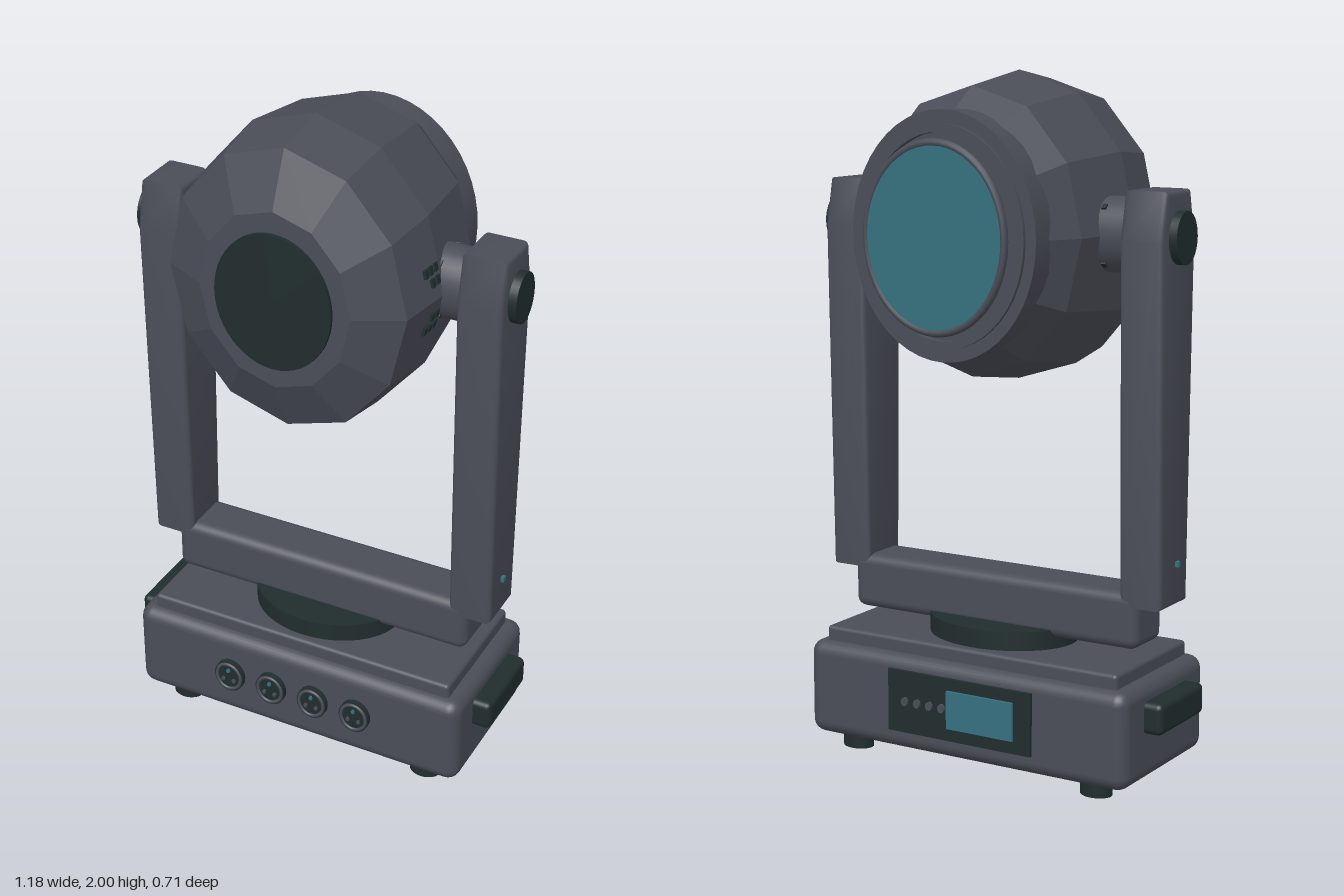
import * as THREE from 'three';
import { toCreasedNormals } from 'three/addons/utils/BufferGeometryUtils.js';
import { RoundedBoxGeometry } from 'three/addons/geometries/RoundedBoxGeometry.js';

export function createModel() {
  const model = new THREE.Group();
  model.name = 'movingHeadLight';

  const material = (name, color) => {
    const m = new THREE.MeshStandardMaterial({ color });
    m.name = name;
    return m;
  };
  const body = material('slateGrey', 0x4a4d57);
  const dark = material('darkRubber', 0x212d2d);
  const teal = material('tealGlass', 0x35717f);

  const CZ = 0.02;      // depth of the pan axis
  const HEAD_Y = 1.557; // height of the tilt axis
  const SQUASH = 0.86;  // the head is narrower than it is tall

  const add = (name, geo, mat, x = 0, y = 0, z = 0) => {
    const mesh = new THREE.Mesh(geo, mat);
    mesh.name = name;
    mesh.position.set(x, y, z);
    model.add(mesh);
    return mesh;
  };
  const box = (w, h, d, r) => new RoundedBoxGeometry(w, h, d, 3, r);
  // Elliptic cylinders along each axis
  const discY = (rx, rz, h, n = 40) => new THREE.CylinderGeometry(1, 1, h, n).scale(rx, 1, rz);
  const discZ = (rx, ry, d, n = 40) => new THREE.CylinderGeometry(1, 1, d, n).rotateX(Math.PI / 2).scale(rx, ry, 1);
  const discX = (ry, rz, w, n = 32) => new THREE.CylinderGeometry(1, 1, w, n).rotateZ(Math.PI / 2).scale(1, ry, rz);
  // Profile of [radius, z] revolved about z, ordered from back to front
  const turned = (profile, sides) =>
    new THREE.LatheGeometry(profile.map(([r, z]) => new THREE.Vector2(r, z)), sides)
      .rotateX(Math.PI / 2).scale(SQUASH, 1, 1);

  // Base
  add('base', box(1.07, 0.285, 0.49, 0.04), body, 0, 0.1825, CZ);
  add('baseTopPlate', box(0.98, 0.06, 0.42, 0.012), body, 0, 0.337, CZ);
  add('turntable', discY(0.23, 0.183, 0.07), dark, 0, 0.388, CZ);
  for (const sx of [-1, 1]) {
    add('baseHandle', box(0.08, 0.092, 0.265, 0.018), dark, sx * 0.55, 0.23, CZ);
    for (const sz of [-1, 1]) {
      add('foot', discY(0.048, 0.038, 0.05, 24), dark, sx * 0.407, 0.025, CZ + sz * 0.17);
    }
  }

  // Front sockets with pins
  for (let i = 0; i < 4; i++) {
    const x = -0.21 + i * 0.14;
    add('socketFlange', discZ(0.048, 0.053, 0.022, 28), dark, x, 0.188, 0.27);
    add('socketRing', new THREE.TorusGeometry(0.04, 0.005, 8, 28).scale(1, 1.1, 1), body, x, 0.188, 0.281);
    for (let k = 0; k < 3; k++) {
      const a = Math.PI / 2 + k * Math.PI * 2 / 3;
      add('socketPin', discZ(0.006, 0.007, 0.006, 10), k ? body : teal,
        x + Math.cos(a) * 0.02, 0.188 + Math.sin(a) * 0.022, 0.283);
    }
  }

  // Rear control panel
  add('controlPanel', new THREE.BoxGeometry(0.48, 0.185, 0.015), dark, 0, 0.1925, -0.228);
  add('screen', new THREE.BoxGeometry(0.22, 0.112, 0.009), teal, -0.075, 0.195, -0.24);
  for (let i = 0; i < 4; i++) {
    add('panelButton', discZ(0.011, 0.013, 0.012, 12), body, 0.18 - i * 0.042, 0.195, -0.238);
  }

  // Yoke
  add('yokeBridge', box(0.96, 0.165, 0.165, 0.03), body, 0, 0.482, CZ);
  const b = 0.015; // bevel
  const outline = new THREE.Shape([
    [-0.078, 0.525], [0.078, 0.525], [0.1, 1.55], [0.07, 1.685], [-0.07, 1.685], [-0.1, 1.55],
  ].map(([u, v]) => new THREE.Vector2(u * (1 - b / 0.1), v < 1 ? v + b : v > 1.6 ? v - b : v)));
  const armGeo = new THREE.ExtrudeGeometry(outline, {
    depth: 0.132 - 2 * b, bevelThickness: b, bevelSize: b, bevelSegments: 3,
  }).translate(0, 0, b - 0.066).rotateY(-Math.PI / 2);
  const arm = toCreasedNormals(armGeo, 0.6);

  for (const s of [-1, 1]) {
    add('yokeArm', arm, body, s * 0.49, 0, CZ);
    add('armCap', discX(0.074, 0.063, 0.03), dark, s * 0.565, HEAD_Y, CZ);
    add('armLight', new THREE.BoxGeometry(0.016, 0.016, 0.014), teal, s * 0.558, 0.645, 0.03);
    add('tiltCollar', discX(0.106, 0.088, 0.13), body, s * 0.385, HEAD_Y, CZ);

    // Small slots on the collar
    for (const [sy, sz] of [[1, 1], [1, -1], [-1, 1], [-1, -1]]) {
      const slot = add('collarSlot', new THREE.BoxGeometry(0.014, 0.008, 0.016), dark,
        s * 0.357, HEAD_Y + sy * 0.079, CZ + sz * 0.059);
      slot.rotation.x = sy * sz * 0.72;
    }
    // Cooling slots on the side of the head
    for (const sy of [-1, 1]) {
      for (let row = 0; row < 2; row++) {
        for (let col = 0; col < 3 - row; col++) {
          const dy = 0.05 + (1 - row) * 0.035;
          const slot = add('coolingSlot', new THREE.BoxGeometry(0.009, 0.024, 0.016), dark,
            s * (0.379 - dy * 0.23 - col * 0.001), HEAD_Y + sy * dy, 0.115 + col * 0.026);
          slot.rotation.z = s * sy * 0.225;
        }
      }
    }
  }

  // Faceted twelve-sided head
  const shell = turned([
    [0, -0.26], [0.33, -0.26], [0.405, -0.15], [0.443, 0.1], [0.415, 0.275], [0.262, 0.342], [0, 0.342],
  ], 12).toNonIndexed();
  shell.computeVertexNormals();
  add('headShell', shell, body, 0, HEAD_Y, 0);
  add('headEndCap', discZ(0.174, 0.2, 0.03, 48), dark, 0, HEAD_Y, 0.338);

  // Lens barrel, stepped rim and floating lens
  const barrel = turned([
    [0, -0.295], [0.285, -0.295], [0.285, -0.316], [0.308, -0.316], [0.308, -0.305],
    [0.345, -0.305], [0.345, -0.2], [0, -0.2],
  ], 48);
  add('lensBarrel', toCreasedNormals(barrel, 0.6), body, 0, HEAD_Y, 0);
  add('lensRing', new THREE.TorusGeometry(0.258, 0.012, 10, 56).scale(SQUASH, 1, 1), body, 0, HEAD_Y, -0.344);
  add('lens', discZ(0.25 * SQUASH, 0.25, 0.012, 56), teal, 0, HEAD_Y, -0.347);

  return model;
}
